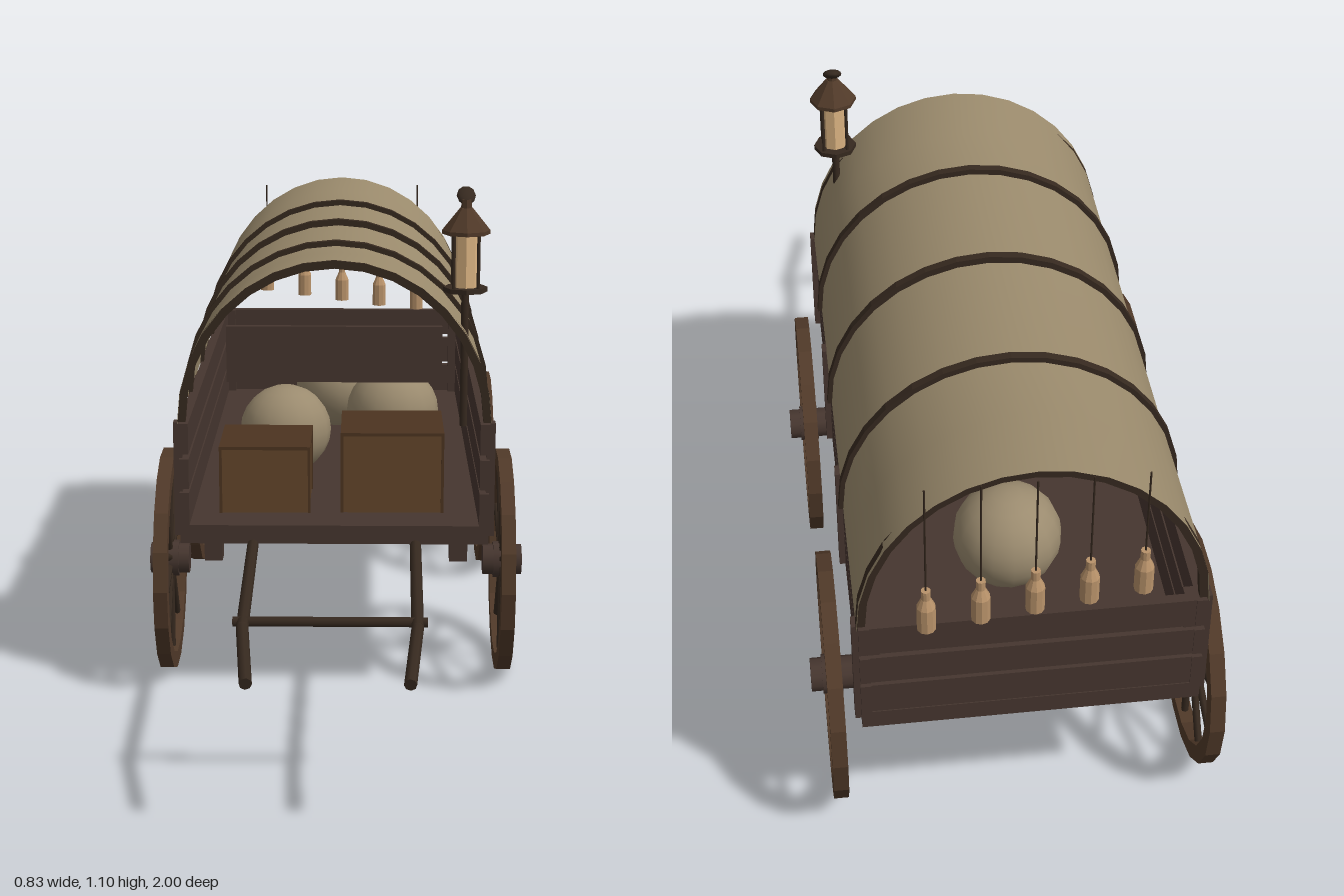
import * as THREE from 'three';

const mat = (name, color) => new THREE.MeshStandardMaterial({ name, color });

export function createModel() {
  const wood = mat('dark wood', 0x46362f);
  const trim = mat('bent wood', 0x36291f);
  const rimWood = mat('wheel wood', 0x513a29);
  const canvas = mat('canvas', 0x9a8a6c);
  canvas.side = THREE.DoubleSide;
  const crateWood = mat('crate wood', 0x64462a);
  const crateEdge = mat('crate edge', 0x4c3420);
  const sackCloth = mat('sack cloth', 0x9b8b6f);
  const glass = mat('lamp glass', 0xdcb482);
  const clay = mat('bottle clay', 0xb8926a);

  const model = new THREE.Group();
  model.name = 'coveredWagon';

  const add = (name, geo, material, pos = [0, 0, 0], parent = model) => {
    const m = new THREE.Mesh(geo, material);
    m.name = name;
    m.position.set(...pos);
    parent.add(m);
    return m;
  };
  const box = (name, w, h, d, x, y, z, material = wood, parent = model) =>
    add(name, new THREE.BoxGeometry(w, h, d), material, [x, y, z], parent);
  const group = (name, x = 0, y = 0, z = 0) => {
    const g = new THREE.Group();
    g.name = name;
    g.position.set(x, y, z);
    model.add(g);
    return g;
  };
  const faceted = (geo) => {
    const g = geo.index ? geo.toNonIndexed() : geo;
    g.computeVertexNormals();
    return g;
  };
  // round bar between two points
  const bar = (name, a, b, r, material, parent = model, sides = 8) => {
    const A = new THREE.Vector3(...a), B = new THREE.Vector3(...b);
    const dir = B.clone().sub(A);
    const m = add(name, new THREE.CylinderGeometry(r, r, dir.length(), sides), material,
      A.clone().add(B).multiplyScalar(0.5).toArray(), parent);
    m.quaternion.setFromUnitVectors(new THREE.Vector3(0, 1, 0), dir.normalize());
    return m;
  };

  // bed, side planks, tailboard and posts
  box('floor', 0.65, 0.04, 1.29, 0, 0.38, -0.335);
  const planks = [[0.435, 0.07], [0.511, 0.064], [0.587, 0.066]];
  for (const [y, h] of planks) {
    for (const s of [-1, 1]) box('sidePlank', 0.02, h, 1.29, s * 0.315, y, -0.335);
    box('tailPlank', 0.61, h, 0.02, 0, y, -0.968);
  }
  for (const s of [-1, 1]) {
    for (const z of [0.285, -0.137, -0.535, -0.955])
      box('sidePost', 0.018, 0.245, 0.028, s * 0.328, 0.4975, z);
    box('tailPost', 0.025, 0.22, 0.03, s * 0.298, 0.51, -0.955);
  }

  // canvas cover, flared at both ends
  const SEG = 16, BASE = 0.615;
  const stations = [[0.305, 0.35], [0.15, 0.341], [0.01, 0.333], [-0.31, 0.331],
    [-0.635, 0.333], [-0.81, 0.345], [-0.98, 0.358]];
  const pos = [], idx = [];
  stations.forEach(([z, ry], i) => {
    for (let j = 0; j <= SEG; j++) {
      const a = (j / SEG) * Math.PI;
      pos.push(0.328 * Math.cos(a), BASE + ry * Math.sin(a), z);
      if (i && j) {
        const b = i * (SEG + 1) + j, p = b - SEG - 1;
        idx.push(p - 1, b - 1, p, p, b - 1, b);
      }
    }
  });
  const coverGeo = new THREE.BufferGeometry();
  coverGeo.setAttribute('position', new THREE.Float32BufferAttribute(pos, 3));
  // wind so that the outside is the front side
  for (let i = 0; i < idx.length; i += 3) [idx[i + 1], idx[i + 2]] = [idx[i + 2], idx[i + 1]];
  coverGeo.setIndex(idx);
  coverGeo.computeVertexNormals();
  if (coverGeo.attributes.normal.getY(SEG / 2) < 0) {
    idx.reverse();
    coverGeo.setIndex(idx);
    coverGeo.computeVertexNormals();
  }
  add('canvasCover', coverGeo, canvas);

  // bent hoops
  const hoop = (z, rx, ry) => {
    const t = 0.017, outer = [], inner = [];
    for (let j = 0; j <= SEG; j++) {
      const a = (j / SEG) * Math.PI, c = Math.cos(a), s = Math.sin(a);
      outer.push(new THREE.Vector2(rx * c, ry * s));
      inner.unshift(new THREE.Vector2((rx - t) * c, (ry - t) * s));
    }
    const geo = new THREE.ExtrudeGeometry(new THREE.Shape([...outer, ...inner]),
      { depth: 0.018, bevelEnabled: false });
    add('hoop', geo, trim, [0, BASE, z - 0.009]);
  };
  for (const z of [0.01, -0.31, -0.635]) hoop(z, 0.337, 0.345);
  hoop(0.285, 0.329, 0.347);
  hoop(-0.962, 0.329, 0.354);

  // wheels: rim, spokes and hub, axis along x
  const R = 0.248;
  const rimGeo = faceted(new THREE.LatheGeometry([[R - 0.036, -0.015], [R, -0.015], [R, 0.015],
    [R - 0.036, 0.015], [R - 0.036, -0.015]].map((p) => new THREE.Vector2(...p)), 18));
  for (const s of [-1, 1]) for (const z of [0.06, -0.73]) {
    const wheel = group('wheel', s * 0.371, R, z);
    add('rim', rimGeo, rimWood, [0, 0, 0], wheel).rotation.z = Math.PI / 2;
    for (let i = 0; i < 10; i++) {
      const a = (i / 10) * Math.PI * 2, c = Math.cos(a), n = Math.sin(a);
      bar('spoke', [0, c * 0.03, n * 0.03], [0, c * 0.222, n * 0.222], 0.008, trim, wheel, 6);
    }
    bar('hub', [-0.043, 0, 0], [0.043, 0, 0], 0.034, wood, wheel, 10);
    bar('hubBand', [-0.02, 0, 0], [0.02, 0, 0], 0.04, wood, wheel, 10);
    box('axleBlock', 0.04, 0.05, 0.04, s * 0.273, 0.273, z);
  }

  // pulling shafts and crossbar
  for (const s of [-1, 1]) {
    const pts = [[s * 0.172, 0.358, 0.28], [s * 0.165, 0.349, 0.8], [s * 0.148, 0.312, 0.996]];
    bar('shaft', pts[0], pts[1], 0.012, trim);
    bar('shaftTip', pts[1], pts[2], 0.012, trim);
    add('shaftJoint', new THREE.SphereGeometry(0.012, 8, 6), trim, pts[1]);
  }
  bar('crossbar', [-0.185, 0.35, 0.77], [0.185, 0.35, 0.77], 0.01, trim);

  // blank board hung in the front arch
  box('frontBoard', 0.445, 0.117, 0.014, 0, 0.769, 0.305);

  // crates with edged lids
  const crate = (x, w, h, z, d) => {
    const g = group('crate', x, 0.4, z);
    box('crateBody', w, h, d, 0, h / 2, 0, crateWood, g);
    box('crateLid', w + 0.006, 0.007, d + 0.006, 0, h - 0.002, 0, crateEdge, g);
    for (const sx of [-1, 1]) for (const sz of [-1, 1])
      box('crateCorner', 0.006, h, 0.006, sx * w / 2, h / 2, sz * d / 2, crateEdge, g);
  };
  crate(-0.15, 0.19, 0.145, 0.12, 0.19);
  crate(0.123, 0.215, 0.175, 0.11, 0.2);

  // sacks
  for (const [x, z, r] of [[-0.12, -0.17, 0.105], [0.0, -0.62, 0.11], [0.13, -0.36, 0.11]])
    add('sack', new THREE.SphereGeometry(r, 16, 12), sackCloth, [x, 0.49, z]).scale.y = 0.98;

  // hanging bottles on cords at the rear
  const bottleGeo = new THREE.LatheGeometry([[0, 0], [0.018, 0], [0.018, 0.055], [0.009, 0.075],
    [0.009, 0.095], [0, 0.095]].map((p) => new THREE.Vector2(...p)), 10);
  const bottleFlat = faceted(bottleGeo);
  for (let i = 0; i < 5; i++) {
    const x = -0.2 + i * 0.1, y = 0.67 - i * 0.0135;
    add('bottle', bottleFlat, clay, [x, y, -0.982]);
    bar('cord', [x, y + 0.09, -0.982], [x, 0.952, -0.982], 0.002, trim, model, 5);
  }

  // lamp on a pole
  const lamp = group('lamp', 0.272, 0, 0.235);
  bar('lampPole', [0, 0.6, 0], [0, 0.89, 0], 0.008, trim, lamp);
  const part = (name, r1, r2, h, y, m, n = 8) =>
    add(name, faceted(new THREE.CylinderGeometry(r1, r2, h, n)), m, [0, y, 0], lamp);
  part('lampBase', 0.046, 0.046, 0.01, 0.893, trim);
  part('lampGlass', 0.026, 0.026, 0.115, 0.953, glass);
  for (let i = 0; i < 4; i++) {
    const a = Math.PI / 4 + i * Math.PI / 2, x = 0.036 * Math.cos(a), z = 0.036 * Math.sin(a);
    bar('lampPost', [x, 0.895, z], [x, 1.015, z], 0.004, trim, lamp, 6);
  }
  part('lampEave', 0.05, 0.05, 0.008, 1.013, rimWood);
  part('lampRoof', 0.013, 0.05, 0.046, 1.04, rimWood);
  part('lampNeck', 0.011, 0.011, 0.02, 1.07, rimWood);
  const knob = add('lampKnob', new THREE.SphereGeometry(0.02, 10, 8), trim, [0, 1.086, -0.018], lamp);
  knob.scale.set(1, 0.5, 1.5);
  knob.rotation.x = 0.5;

  return model;
}
